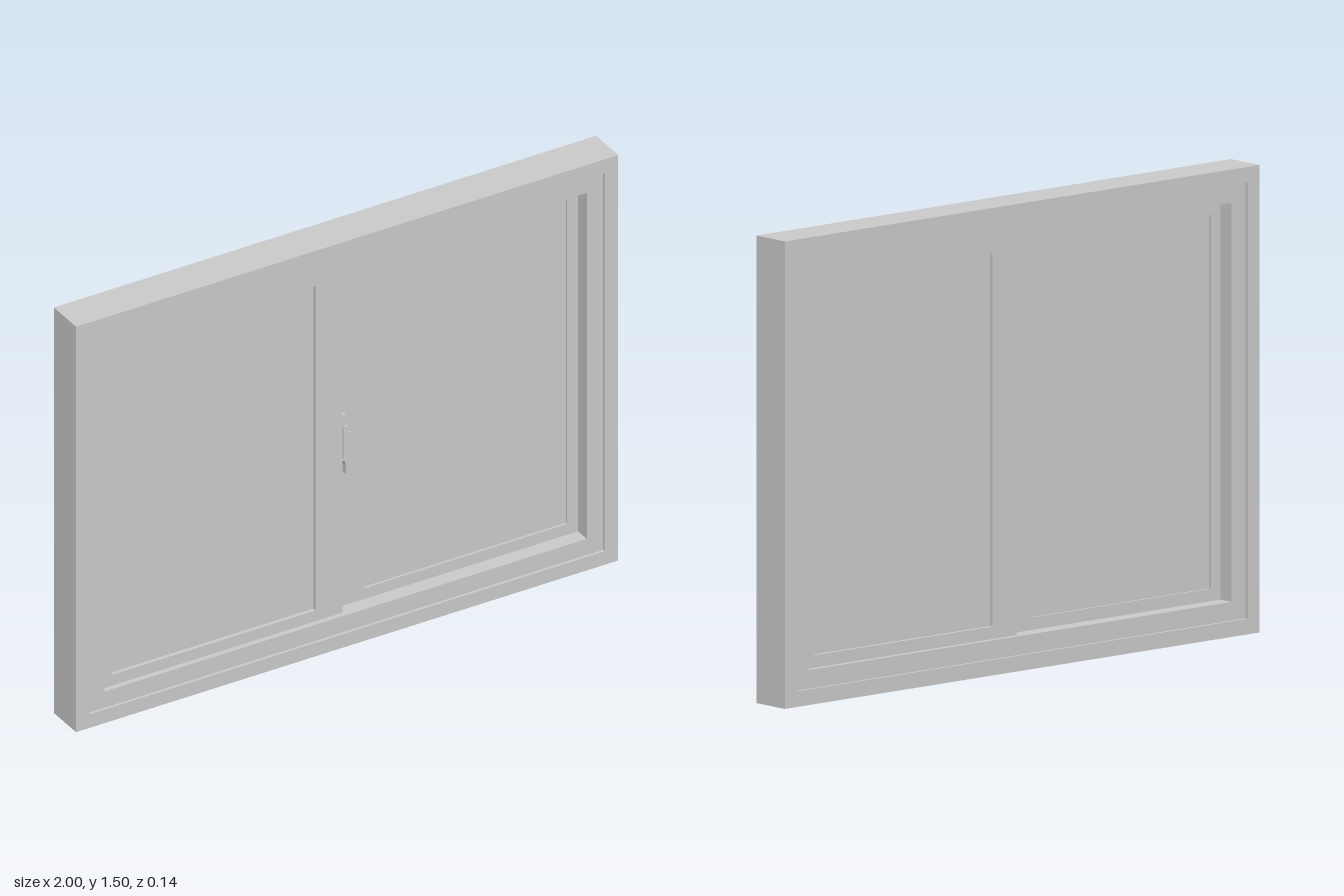
import * as THREE from 'three';

const material = new THREE.MeshStandardMaterial({ color: 0xcccccc, flatShading: true });

function rect(target, x0, y0, x1, y1) {
  target.moveTo(x0, y0);
  target.lineTo(x1, y0);
  target.lineTo(x1, y1);
  target.lineTo(x0, y1);
  target.closePath();
  return target;
}

function extrude(name, shape, z0, z1) {
  const geometry = new THREE.ExtrudeGeometry(shape, { depth: z1 - z0, bevelEnabled: false });
  geometry.translate(0, 0, z0);
  const mesh = new THREE.Mesh(geometry, material);
  mesh.name = name;
  return mesh;
}

// Rectangular ring: outer and inner are [x0, y0, x1, y1]
function ring(name, outer, inner, z0, z1) {
  const shape = rect(new THREE.Shape(), ...outer);
  shape.holes.push(rect(new THREE.Path(), ...inner));
  return extrude(name, shape, z0, z1);
}

function box(name, x0, y0, z0, x1, y1, z1) {
  const mesh = new THREE.Mesh(new THREE.BoxGeometry(x1 - x0, y1 - y0, z1 - z0), material);
  mesh.position.set((x0 + x1) / 2, (y0 + y1) / 2, (z0 + z1) / 2);
  mesh.name = name;
  return mesh;
}

// Sliding sash filling the left half of the opening, nearer the front
function createSash(name) {
  const sash = new THREE.Group();
  sash.name = name;
  sash.add(
    ring('sashFrame', [-0.89, 0.11, 0, 1.39], [-0.85, 0.15, -0.1, 1.35], -0.005, 0.04),
    box('glassPane', -0.85, 0.15, 0.003, -0.1, 1.35, 0.027)
  );
  return sash;
}

// Slim curved latch on the edge of the front sash
function createLatch() {
  const latch = new THREE.Group();
  latch.name = 'latch';
  const outline = [
    [0, 0.84], [0.012, 0.84], [0.012, 0.815], [0.018, 0.8], [0.02, 0.77], [0.03, 0.77],
    [0.026, 0.72], [0.032, 0.7], [0.032, 0.65], [0.027, 0.62], [0.012, 0.62],
    [0.012, 0.65], [0.007, 0.67], [0, 0.67]
  ].map(([x, y]) => new THREE.Vector2(x, y));
  latch.add(
    extrude('latchLever', new THREE.Shape(outline), 0.012, 0.04),
    box('latchCatch', 0, 0.68, 0.005, 0.018, 0.8, 0.046)
  );
  return latch;
}

export function createModel() {
  const model = new THREE.Group();
  model.name = 'slidingWindow';

  // Fixed frame with a shallow step on both faces
  model.add(
    ring('outerFrame', [-1, 0, 1, 1.5], [-0.95, 0.05, 0.95, 1.45], -0.068, 0.068),
    ring('innerFrame', [-0.95, 0.05, 0.95, 1.45], [-0.89, 0.11, 0.89, 1.39], -0.058, 0.058)
  );

  // Matching sashes, the second turned half round to face the back
  const backSash = createSash('backSash');
  backSash.rotation.y = Math.PI;
  model.add(createSash('frontSash'), backSash, createLatch());

  return model;
}
